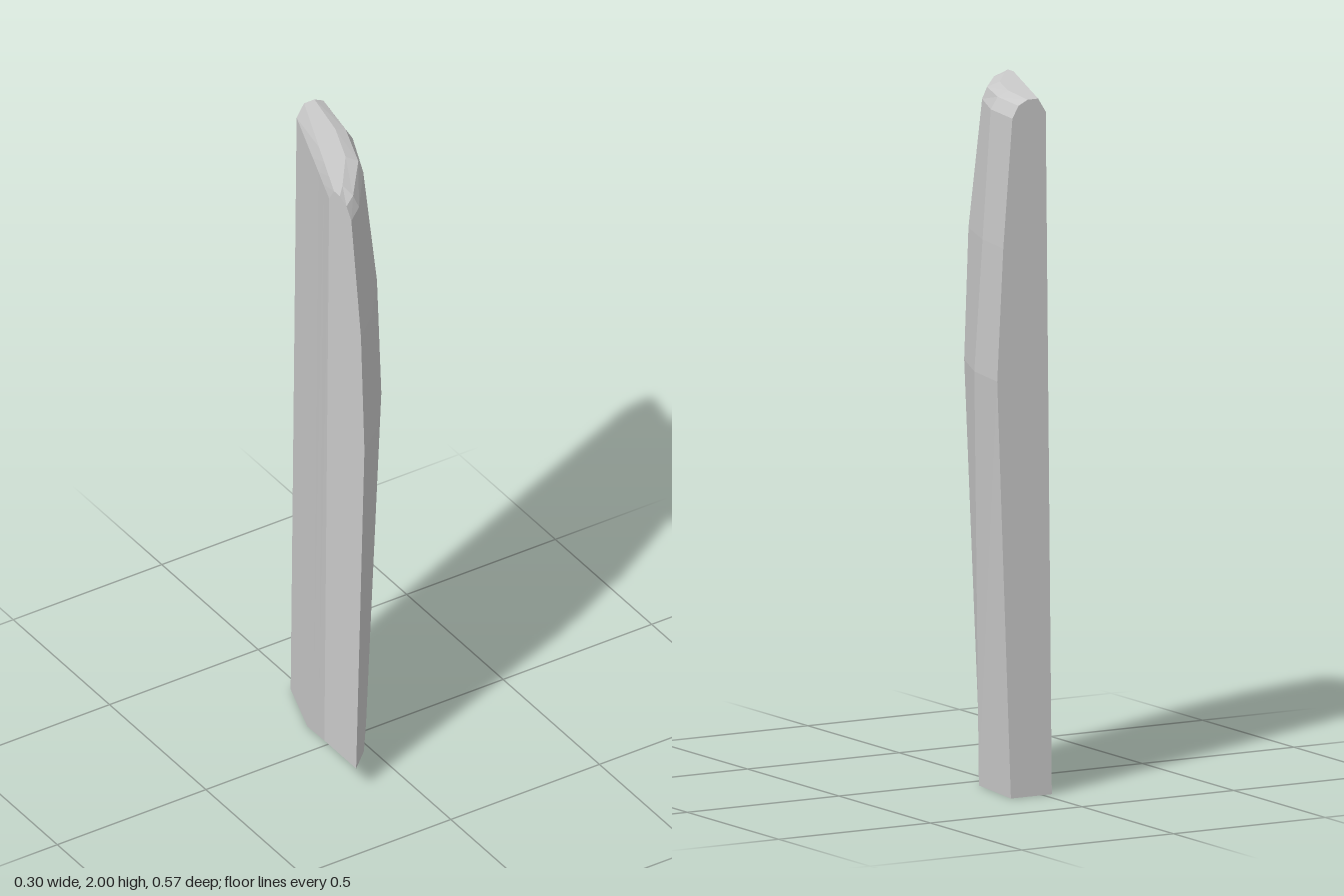
import * as THREE from 'three';

// Outer skin: for each height, five [x, z] stations running from the front cut to the back cut
const outer = [
  { y: [0.08, 0.08, 0.075, 0, 0], p: [[-0.15, 0.24], [-0.085, 0.18], [0.0, 0.06], [0.075, -0.06], [0.105, -0.285]] },
  { y: 1.2, p: [[-0.15, 0.283], [-0.06, 0.21], [0.045, 0.07], [0.12, -0.11], [0.15, -0.285]] },
  { y: 1.58, p: [[-0.15, 0.265], [-0.07, 0.195], [0.04, 0.055], [0.105, -0.13], [0.13, -0.285]] },
  { y: 1.95, p: [[-0.15, 0.215], [-0.095, 0.17], [0.01, 0.03], [0.075, -0.125], [0.1, -0.285]] },
  { y: 1.985, p: [[-0.15, 0.19], [-0.105, 0.155], [0, 0.02], [0.055, -0.13], [0.08, -0.285]] },
  { y: 2, p: [[-0.15, 0.155], [-0.115, 0.115], [-0.03, 0], [0.02, -0.13], [0.05, -0.285]] },
];

// Inner face: straight lines from front cut to back cut, from the crest down to the foot
const inner = [
  { y: 2, a: [-0.15, 0.125], b: [0.015, -0.285] },
  { y: 1.96, a: [-0.15, 0.1], b: [-0.01, -0.285] },
  { y: 0, a: [-0.15, 0.075], b: [-0.03, -0.285] },
];
const along = [0, 0.17, 0.33, 0.5, 1];

// Closed cross-section of one station: up the outer skin, over the crest, down the inner face
function section(c) {
  const up = outer.map(({ y, p }) => [p[c][0], Array.isArray(y) ? y[c] : y, p[c][1]]);
  const t = along[c];
  const down = inner.map(({ y, a, b }) => [
    a[0] + (b[0] - a[0]) * t,
    y === 0 ? Math.max(0, 0.08 * (1 - t / 0.5)) : y, // foot ramps up toward the front
    a[1] + (b[1] - a[1]) * t,
  ]);
  return [...up, ...down];
}

export function createModel() {
  const sections = along.map((_, c) => section(c));
  const rows = sections[0].length;
  const id = (c, r) => c * rows + r;
  const index = [];

  // Skin between neighbouring sections
  for (let c = 0; c < 4; c++) {
    for (let r = 0; r < rows - 1; r++) {
      index.push(id(c, r), id(c + 1, r), id(c + 1, r + 1));
      index.push(id(c, r), id(c + 1, r + 1), id(c, r + 1));
    }
  }

  // Flat cuts at the front and back ends
  for (let r = 1; r < rows - 1; r++) {
    index.push(id(0, 0), id(0, r), id(0, r + 1));
    index.push(id(4, 0), id(4, r + 1), id(4, r));
  }

  // Underside: level at the back, ramped at the front
  const [A, B, C, D, E] = along.map((_, c) => id(c, 0));
  const F = id(4, rows - 1), G = id(3, rows - 1), H = id(0, rows - 1);
  index.push(A, H, B, B, D, C, B, G, D, B, H, G, D, F, E, D, G, F);

  const geometry = new THREE.BufferGeometry();
  geometry.setAttribute('position', new THREE.Float32BufferAttribute(sections.flat(2), 3));
  geometry.setIndex(index);
  const faceted = geometry.toNonIndexed();
  faceted.computeVertexNormals();

  const panel = new THREE.Mesh(
    faceted,
    new THREE.MeshStandardMaterial({ color: 0xcccccc, flatShading: true })
  );
  panel.name = 'curvedPanel';

  const group = new THREE.Group();
  group.name = 'model';
  group.add(panel);
  return group;
}
